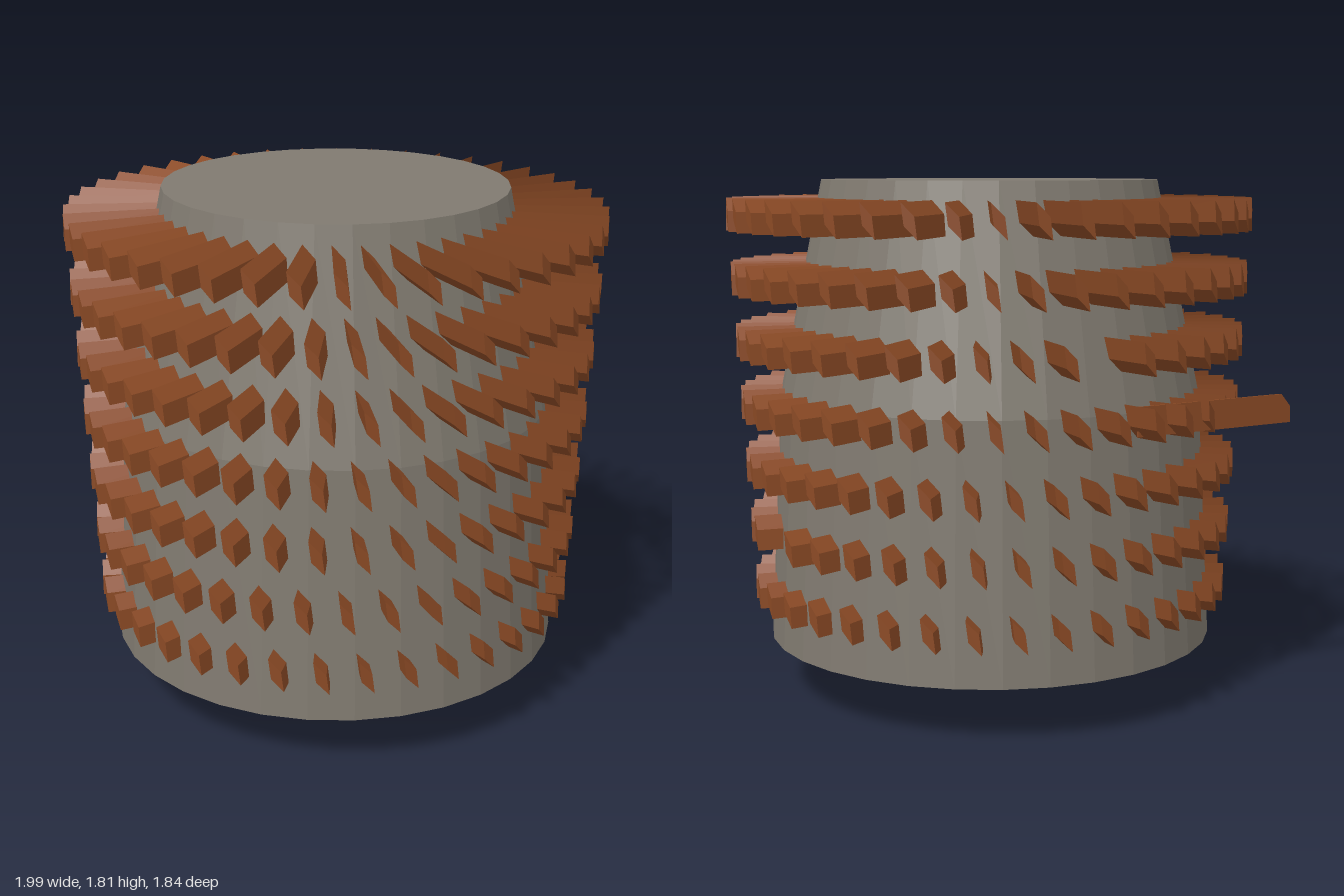
import * as THREE from 'three';

export function createModel() {
  const group = new THREE.Group();
  const grey = new THREE.MeshStandardMaterial({ color: 0x807a70, flatShading: true });
  const brown = new THREE.MeshStandardMaterial({ color: 0x8b4a25, flatShading: true });
  const darkBrown = new THREE.MeshStandardMaterial({ color: 0x5c3420, flatShading: true });
  const centreX = 0.075;

  function add(geometry, material, name, parent = group) {
    const mesh = new THREE.Mesh(geometry, material);
    mesh.name = name;
    parent.add(mesh);
    return mesh;
  }

  // Flat outline pushed along +z
  function prism(points, depth) {
    const shape = new THREE.Shape(points.map(([x, y]) => new THREE.Vector2(x, y)));
    return new THREE.ExtrudeGeometry(shape, { depth, bevelEnabled: false });
  }

  // Drum: a tapered barrel, steeper in its upper part
  const profile = [[0, 0.192], [0.795, 0.192], [0.748, 1.06], [0.592, 1.81], [0, 1.81]]
    .map(([r, y]) => new THREE.Vector2(r, y));
  add(new THREE.LatheGeometry(profile, 32), grey, 'drum').position.x = centreX;

  // Short axle under the drum
  add(new THREE.CylinderGeometry(0.152, 0.152, 0.3, 16), darkBrown, 'axle').position.set(centreX, 0.15, 0);

  // Seven rings of leaning, diamond-section teeth; higher rings reach further and hold more.
  // Two rings each lack one tooth, given by its angle in degrees.
  const diamond = [[-0.026, 0.057], [-0.017, -0.014], [0.026, -0.057], [0.017, 0.014]];
  const phases = [0.4, 0, 0.85, 0, 0, 0.45, 0];
  const gaps = { 1: 311, 4: 221 };
  const innerRadius = 0.55;
  phases.forEach((phase, row) => {
    const ring = new THREE.Group();
    ring.name = `toothRing${row + 1}`;
    ring.position.set(centreX, 0.377 + row * 0.219, 0);
    group.add(ring);
    const count = 36 + row;
    const outerRadius = 0.848 + row * 0.0123;
    const tooth = prism(diamond, outerRadius - innerRadius);
    tooth.translate(0, 0, innerRadius);
    for (let i = 0; i < count; i++) {
      const degrees = ((i + phase) / count) * 360;
      if (Math.abs(degrees - gaps[row]) < 180 / count) continue;
      add(tooth, brown, 'tooth', ring).rotation.y = Math.PI / 2 - THREE.MathUtils.degToRad(degrees);
    }
  });

  // Thin blade that leaves the drum almost along its tangent, with a clipped tip
  const outline = [[0, 0], [0.64, 0], [0.64, 0.1], [0.04, 0.1], [0, 0.055]];
  const blade = add(prism(outline, 0.008), brown, 'blade');
  blade.position.set(-0.997, 0.985, 0.07);
  blade.rotation.y = Math.atan2(0.24, 0.2);

  return group;
}
